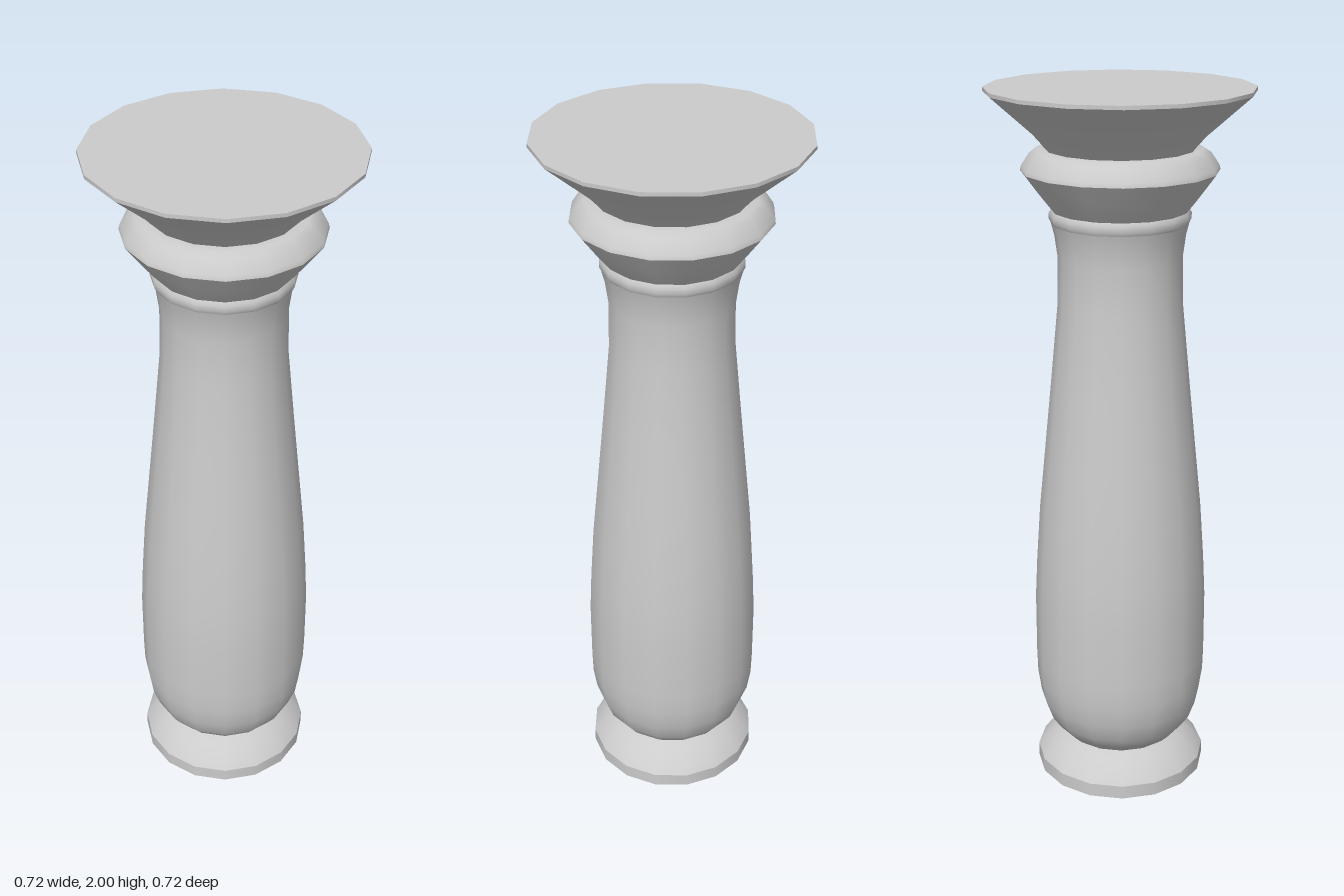
import * as THREE from 'three';

const SIDES = 16;
const material = new THREE.MeshStandardMaterial({ color: 0xcccccc });

// Each part is a list of profile runs [radius, height], bottom to top.
// Shading is smooth within a run and creased between runs.
const parts = {
  base: [
    [[0, 0], [0.247, 0]],
    [[0.247, 0], [0.247, 0.04]],
    [[0.247, 0.04], [0.228, 0.065], [0.195, 0.095], [0.165, 0.11]],
  ],
  shaft: [
    [[0.165, 0.11], [0.19, 0.135], [0.215, 0.17], [0.235, 0.225], [0.245, 0.29], [0.247, 0.36],
      [0.247, 0.54], [0.241, 0.66], [0.23, 0.82], [0.212, 1.0], [0.192, 1.2], [0.171, 1.42],
      [0.169, 1.55], [0.177, 1.61], [0.186, 1.645]],
  ],
  collar: [
    [[0.186, 1.645], [0.191, 1.655], [0.191, 1.67], [0.185, 1.68]],
  ],
  neckRing: [
    [[0.185, 1.68], [0.205, 1.705], [0.228, 1.735], [0.265, 1.785]],
    [[0.265, 1.785], [0.262, 1.797], [0.24, 1.83], [0.222, 1.84], [0.2, 1.842]],
  ],
  capital: [
    [[0.2, 1.842], [0.215, 1.86], [0.238, 1.885], [0.358, 1.99]],
    [[0.358, 1.99], [0.358, 2]],
    [[0.358, 2], [0, 2]],
  ],
};

export function createModel() {
  const column = new THREE.Group();
  column.name = 'column';
  for (const [name, runs] of Object.entries(parts)) {
    const part = new THREE.Group();
    part.name = name;
    for (const run of runs) {
      const points = run.map(([r, y]) => new THREE.Vector2(r, y));
      const mesh = new THREE.Mesh(new THREE.LatheGeometry(points, SIDES), material);
      mesh.name = name + 'Surface';
      part.add(mesh);
    }
    column.add(part);
  }
  return column;
}
